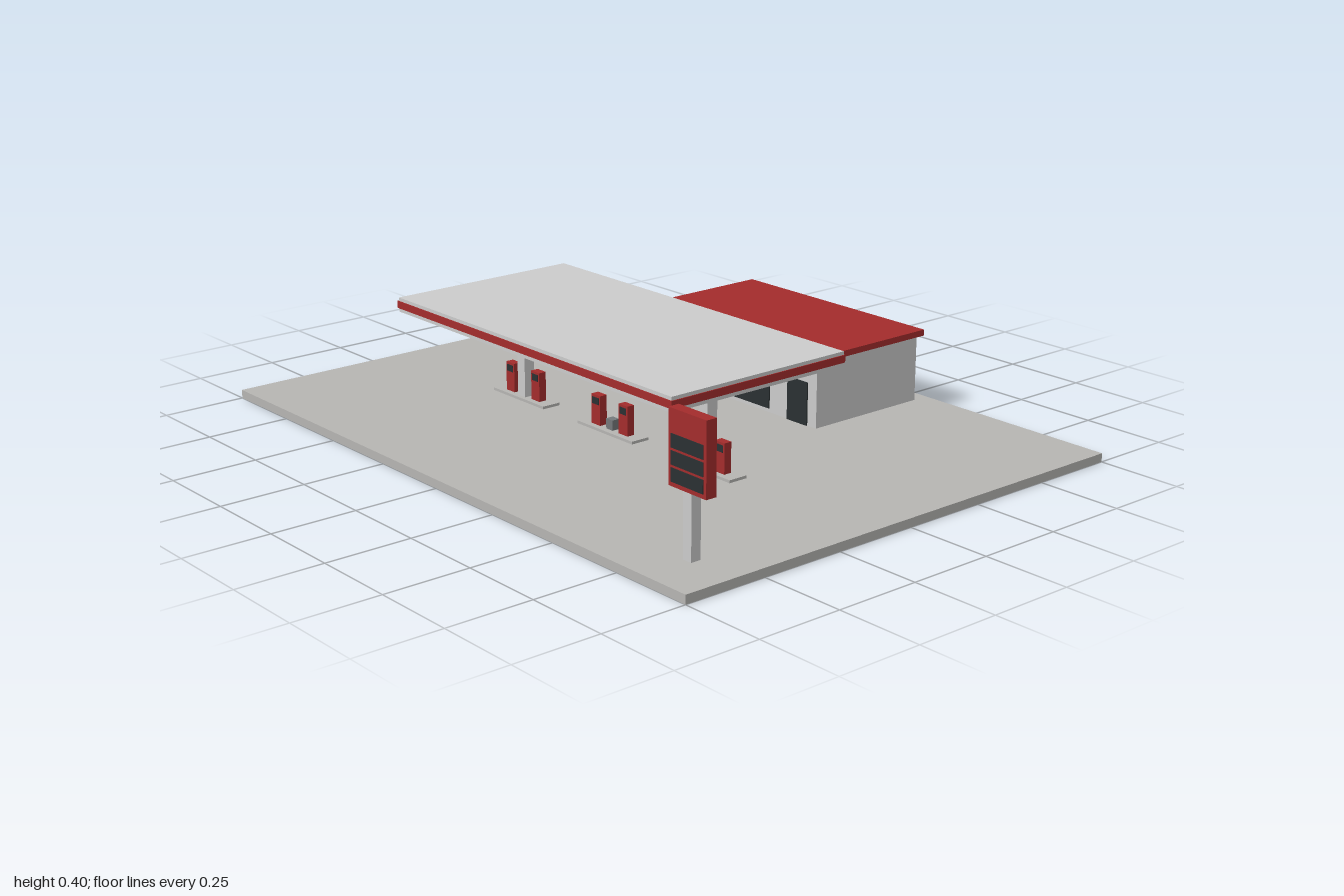
import * as THREE from 'three';

const material = (color) => new THREE.MeshStandardMaterial({ color });

export function createModel() {
  const model = new THREE.Group();
  model.name = 'fuelStation';

  const grey = material(0xcccccc);
  const concrete = material(0xb6b5b2);
  const red = material(0xa32c2c);
  const dark = material(0x2a3032);
  const blue = material(0x2a5298);
  const binGrey = material(0x74787a);

  // Box given by its centre in x and z, its bottom and its top
  function box(name, mat, x, z, bottom, top, width, depth, parent = model) {
    const mesh = new THREE.Mesh(new THREE.BoxGeometry(width, top - bottom, depth), mat);
    mesh.name = name;
    mesh.position.set(x, (bottom + top) / 2, z);
    parent.add(mesh);
    return mesh;
  }

  function group(name) {
    const g = new THREE.Group();
    g.name = name;
    model.add(g);
    return g;
  }

  const ground = 0.025;
  box('forecourt', concrete, 0, 0, 0, ground, 2, 1.5);

  // Canopy with its coloured band, carried by two columns
  const canopy = group('canopy');
  box('canopyRoof', grey, 0, 0.15, 0.298, 0.34, 1.2, 0.6, canopy);
  box('canopyBand', red, 0, 0.15, 0.309, 0.33, 1.206, 0.606, canopy);
  for (const x of [-0.4, 0.4]) {
    box('canopyColumn', grey, x, 0.15, ground, 0.298, 0.034, 0.034, canopy);
  }

  // Three islands, each with a pair of pumps
  for (const x of [-0.4, 0, 0.4]) {
    const island = group('pumpIsland');
    box('islandKerb', concrete, x, 0.15, ground, 0.033, 0.24, 0.06, island);
    for (const side of [-1, 1]) {
      const px = x + side * 0.06;
      box('pump', red, px, 0.15, 0.033, 0.12, 0.038, 0.024, island);
      box('pumpScreen', dark, px, 0.162, 0.093, 0.113, 0.028, 0.003, island);
    }
  }
  box('islandBin', binGrey, 0, 0.15, 0.033, 0.063, 0.028, 0.024);

  // Shop with overhanging roof, front glazing and a vent at the back
  const shop = group('shop');
  box('shopWalls', grey, 0, -0.5, ground, 0.222, 0.7, 0.4, shop);
  box('shopRoof', red, 0, -0.47, 0.222, 0.24, 0.732, 0.486, shop);
  box('shopWindow', dark, -0.075, -0.299, 0.037, 0.177, 0.47, 0.006, shop);
  box('shopDoor', dark, 0.275, -0.299, ground, 0.152, 0.08, 0.006, shop);
  box('backVent', dark, 0, -0.7, 0.098, 0.138, 0.05, 0.008, shop);

  // Roadside price sign
  const sign = group('priceSign');
  box('signPost', grey, 0.85, 0.6, ground, 0.2, 0.03, 0.03, sign);
  box('signBoard', red, 0.85, 0.6, 0.2, 0.397, 0.136, 0.032, sign);
  for (const y of [0.23, 0.273, 0.316]) {
    box('pricePanel', dark, 0.85, 0.616, y - 0.018, y + 0.018, 0.116, 0.004, sign);
  }

  // Air and water stand at the edge of the forecourt
  box('airStand', blue, -0.888, -0.116, ground, 0.092, 0.032, 0.03);

  return model;
}
